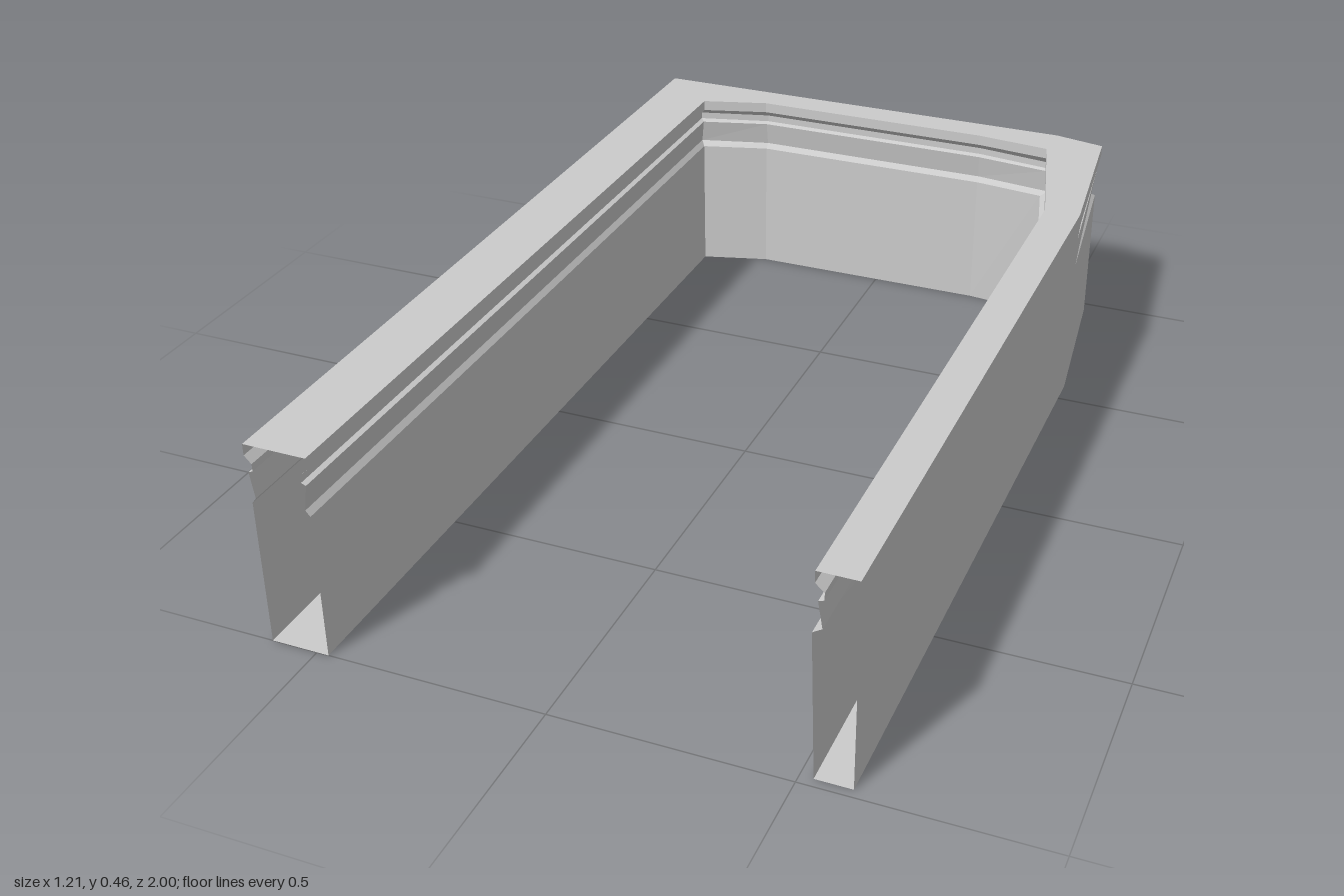
import * as THREE from 'three';

// Moulding profile from the floor up: [height, inset, lean]
const PROFILE = [
  [0, 0.3, 0], [0.325, 0.3, 1], [0.337, 0.9, 0.1], [0.394, 0.35, 0],
  [0.398, 1, 0], [0.414, 1, 0], [0.43, 0, 0], [0.455, 0, 0],
];

// Stations along the U: outer [x, z, insetX, insetZ], inner [x, z, insetX, insetZ, leanX]
const STATIONS = [
  { outer: [-0.606, 1, 0.015, 0], inner: [-0.469, 1, -0.016, 0, 0] },
  { outer: [-0.606, -1, 0.015, 0.038], inner: [-0.469, -0.88, -0.016, -0.018, 0] },
  { outer: [-0.31, -1, 0, 0.038], inner: [-0.315, -0.926, 0, -0.018, 0] },
  { outer: [0.44, -1, 0, 0.038], inner: [0.26, -0.926, 0, -0.018, 0] },
  { outer: [0.56, -0.975, -0.015, 0.03], inner: [0.437, -0.907, 0.012, -0.012, -0.012] },
  { outer: [0.604, -0.56, 0, 0], inner: [0.522, -0.56, 0.018, 0, -0.016] },
  { outer: [0.604, 0.98, 0, 0], inner: [0.522, 0.98, 0.018, 0, -0.009] },
];

// Closed cross-section: up the outer wall, then down the inner wall
function ring({ outer, inner }) {
  const side = ([x, z, dx, dz, lean = 0]) => PROFILE.map(([y, inset, l]) =>
    new THREE.Vector3(x + dx * inset + lean * l, y, z + dz * inset));
  return [...side(outer), ...side(inner).reverse()];
}

// Skin between consecutive cross-sections; both ends stay open
function loft(rings) {
  const positions = [];
  const n = rings[0].length;
  for (let i = 0; i < rings.length - 1; i++) {
    for (let j = 0; j < n; j++) {
      const k = (j + 1) % n;
      const [a, b, c, d] = [rings[i][j], rings[i][k], rings[i + 1][j], rings[i + 1][k]];
      for (const p of [a, b, c, b, d, c]) positions.push(p.x, p.y, p.z);
    }
  }
  const geometry = new THREE.BufferGeometry();
  geometry.setAttribute('position', new THREE.Float32BufferAttribute(positions, 3));
  geometry.computeVertexNormals();
  return geometry;
}

export function createModel() {
  const group = new THREE.Group();
  group.name = 'parapet';
  const material = new THREE.MeshStandardMaterial({
    color: 0xcccccc, flatShading: true, side: THREE.DoubleSide,
  });

  // Hollow U-shaped wall with moulded upper rim
  const wall = new THREE.Mesh(loft(STATIONS.map(ring)), material);
  wall.name = 'mouldedWall';
  group.add(wall);
  return group;
}
